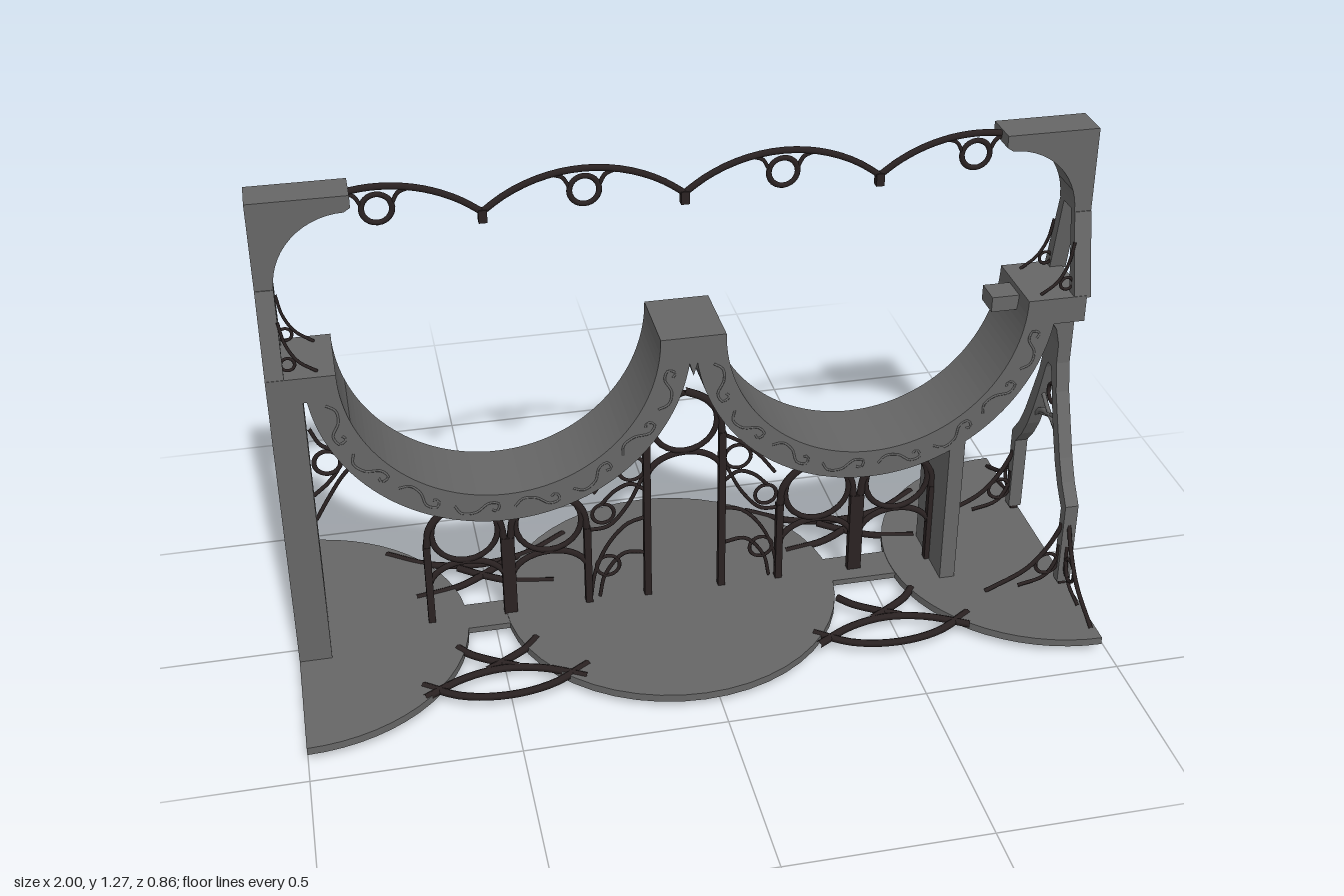
import * as THREE from 'three';

const stone = new THREE.MeshStandardMaterial({ color: 0x666666, side: THREE.DoubleSide });
const iron = new THREE.MeshStandardMaterial({ color: 0x2a2222 });

export function createModel() {
  const root = new THREE.Group();
  const add = (name, geo, mat = stone, parent = root) => {
    const m = new THREE.Mesh(geo, mat);
    m.name = name;
    parent.add(m);
    return m;
  };
  const group = (name) => {
    const g = new THREE.Group();
    g.name = name;
    root.add(g);
    return g;
  };
  // box given by its two corners
  const box = (name, x0, x1, y0, y1, z0, z1, mat, parent) =>
    add(name, new THREE.BoxGeometry(Math.abs(x1 - x0), y1 - y0, z1 - z0)
      .translate((x0 + x1) / 2, (y0 + y1) / 2, (z0 + z1) / 2), mat, parent);
  // smooth rod through points
  const rod = (name, pts, r, parent, mat = iron) => {
    const c = new THREE.CatmullRomCurve3(pts.map((p) => new THREE.Vector3(...p)));
    return add(name, new THREE.TubeGeometry(c, 18, r, 6), mat, parent);
  };
  const hoop = (name, x, y, z, R, r, parent, turned = false) => {
    const m = add(name, new THREE.TorusGeometry(R, r, 6, 24), iron, parent);
    m.position.set(x, y, z);
    if (turned) m.rotation.y = Math.PI / 2;
    return m;
  };
  const slab = (shape, z0, z1) => new THREE.ExtrudeGeometry(shape,
    { depth: z1 - z0, bevelEnabled: false, curveSegments: 32 }).translate(0, 0, z0);
  const poly = (pts) => new THREE.Shape(pts.map((p) => new THREE.Vector2(...p)));
  // outline in (z, y), extruded along x
  const sideSlab = (shape, x0, x1) => slab(shape, 0, x1 - x0).rotateY(-Math.PI / 2).translate(x1, 0, 0);

  // base plates: a full disc and two half discs joined by strips
  const R = 0.43;
  add('baseDisc', new THREE.CylinderGeometry(R, R, 0.02, 48).translate(-0.04, 0.03, 0));
  add('baseHalfDisc', new THREE.CylinderGeometry(R, R, 0.02, 32, 1, false, 0, Math.PI).translate(-1, 0.03, 0));
  add('baseHalfDisc', new THREE.CylinderGeometry(R, R, 0.02, 32, 1, false, Math.PI, Math.PI).translate(0.985, 0.03, 0));
  box('baseEdge', -1, -0.998, 0.02, 0.04, -R, R);
  box('baseEdge', 0.983, 0.985, 0.02, 0.04, -R, R);
  box('baseStrip', -0.62, -0.42, 0.022, 0.038, -0.05, 0.05);
  box('baseStrip', 0.35, 0.6, 0.022, 0.038, -0.05, 0.05);

  // curved tracery lying between the plates
  for (const cx of [-0.51, 0.48]) {
    const g = group('floorTracery');
    const flat = (pts, r = 0.01) => rod('floorArc', pts.map(([x, z]) => [cx + x, 0.035, z]), r, g);
    flat([[-0.24, -0.32], [-0.13, -0.25], [0, -0.225], [0.13, -0.25], [0.24, -0.32]]);
    flat([[-0.2, 0.25], [-0.11, 0.31], [0, 0.33], [0.11, 0.31], [0.21, 0.25]]);
    flat([[-0.2, 0.3], [-0.1, 0.245], [0, 0.225], [0.1, 0.245], [0.2, 0.3]]);
    for (const s of [-1, 1]) {
      flat([[-0.06 * s, -0.22], [0, -0.175], [0.07 * s, -0.135], [0.18 * s, -0.11]]);
      flat([[-0.04 * s, 0.225], [0.02 * s, 0.19], [0.07 * s, 0.155], [0.1 * s, 0.12]]);
    }
  }

  // two hanging half rings with scrolled relief on the front
  for (const cx of [-0.46, 0.46]) {
    const g = group('cradle');
    const s = new THREE.Shape();
    s.absarc(cx, 0.845, 0.456, Math.PI, 2 * Math.PI, false);
    s.absarc(cx, 0.845, 0.38, 2 * Math.PI, Math.PI, true);
    add('halfRing', slab(s, -0.1, 0.1), stone, g);
    for (let i = 0; i < 8; i++) {
      const a0 = Math.PI * (1.06 + i * 0.113), side = i % 2 ? 1 : -1;
      const pts = [[0, 0], [0.05, 0.018], [0.13, 0.012], [0.2, -0.015], [0.26, -0.012], [0.25, 0.008], [0.22, 0.004]];
      rod('scrollRelief', pts.map(([a, d]) => {
        const r = 0.418 + d * side;
        return [cx + r * Math.cos(a0 + a), 0.845 + r * Math.sin(a0 + a), 0.1];
      }), 0.003, g, stone);
    }
  }
  add('middleCap', slab(poly([[-0.03, 0.845], [0.03, 0.845], [0, 0.74]]), -0.1, 0.1));

  // lower supports
  box('leftPillar', -1, -0.92, 0.04, 0.845, -0.1, 0.1);
  box('leftPillarCap', -0.93, -0.9, 0.78, 0.845, -0.1, 0.1);
  box('rightPillar', 0.665, 0.705, 0.04, 0.5, -0.1, 0.1);
  box('rightCap', 0.9, 0.99, 0.775, 0.845, -0.1, 0.1);
  box('rightTongue', 0.77, 0.86, 0.79, 0.83, -0.035, 0.035);

  // forked stand on the right end
  box('standNeck', 0.955, 0.99, 0.62, 0.78, -0.043, 0.043);
  const flare = poly([[0.9, 0.78], [0.97, 0.78], [0.97, 0.66], [0.955, 0.68], [0.945, 0.725], [0.925, 0.755]]);
  add('standFlare', slab(flare, -0.043, 0.043));
  for (const s of [-1, 1]) {
    const g = group('standLeg');
    const leg = poly([[0, 0.625], [0.043, 0.625], [0.06, 0.55], [0.09, 0.475], [0.125, 0.39], [0.155, 0.335], [0.195, 0.285],
      [0.195, 0.05], [0.167, 0.05], [0.167, 0.265], [0.13, 0.31], [0.1, 0.36], [0.07, 0.43], [0.045, 0.5], [0.02, 0.58], [0.01, 0.6], [0, 0.6]]
      .map(([z, y]) => [z * s, y]));
    add('curvedLeg', sideSlab(leg, 0.955, 0.99), stone, g);
    box('foot', 0.962, 0.982, 0.03, 0.05, s * 0.18 - 0.01, s * 0.18 + 0.01, iron, g);
    rod('legBrace', [[0.972, 0.39, 0.1 * s], [0.972, 0.43, 0.05 * s], [0.972, 0.445, 0]], 0.008, g, stone);
    rod('legBrace', [[0.972, 0.49, 0.07 * s], [0.972, 0.455, 0.02 * s], [0.972, 0.4, -0.1 * s]], 0.006, g, stone);
    // scroll braces at the foot: one outward, one inward along the length
    const brace = (put, turned) => {
      rod('footBrace', [[0, 0.23], [0.035, 0.16], [0.09, 0.095], [0.2, 0.04]].map(([d, y]) => put(d, y)), 0.006, g);
      rod('footCurl', [[0.005, 0.16], [0.012, 0.11], [0.04, 0.065], [0.11, 0.045]].map(([d, y]) => put(d, y)), 0.005, g);
      hoop('footHoop', ...put(0.036, 0.105), 0.03, 0.005, g, turned);
    };
    brace((d, y) => [0.972, y, s * (0.188 + d)], true);
    brace((d, y) => [0.962 - d, y, s * 0.18], false);
  }
  rod('standStem', [[0.972, 0.62, 0], [0.972, 0.58, 0], [0.972, 0.535, 0]], 0.004);
  hoop('standHoop', 0.972, 0.51, 0, 0.026, 0.005, root, true);

  // scroll bracket on the left pillar
  rod('pillarScroll', [[-0.92, 0.39, 0], [-0.885, 0.45, 0], [-0.845, 0.51, 0], [-0.79, 0.565, 0]], 0.005);
  rod('pillarScroll', [[-0.92, 0.46, 0], [-0.88, 0.495, 0], [-0.85, 0.54, 0], [-0.84, 0.6, 0]], 0.005);
  rod('pillarScroll', [[-0.915, 0.65, 0], [-0.89, 0.6, 0], [-0.85, 0.58, 0]], 0.005);
  hoop('pillarHoop', -0.88, 0.55, 0, 0.032, 0.006);

  // upper posts with a forked foot and a quarter-round bracket
  for (const s of [-1, 1]) {
    const g = group('upperPost');
    const b = new THREE.Shape();
    b.moveTo(s, 1.05);
    b.lineTo(s, 1.265);
    b.lineTo(0.77 * s, 1.265);
    b.lineTo(0.77 * s, 1.235);
    for (let i = 0; i <= 14; i++) {
      const a = (i / 14) * Math.PI / 2;
      b.lineTo(s * (0.785 + 0.172 * Math.sin(a)), 1.05 + 0.175 * Math.cos(a));
    }
    add('bracket', slab(b, -0.05, 0.045), stone, g);
    const x0 = s < 0 ? -1 : 0.957;
    for (const t of [-1, 1]) {
      const p = poly([[t * 0.047, 1.05], [t * 0.1, 0.84], [t * 0.067, 0.84], [t * 0.023, 1.05]]);
      add('forkLeg', sideSlab(p, x0, x0 + 0.043), stone, g);
      rod('postScroll', [[0.957 * s, 0.98, t * 0.068], [0.945 * s, 0.92, t * 0.07], [0.92 * s, 0.875, t * 0.072], [0.88 * s, 0.845, t * 0.072]], 0.004, g);
      hoop('postHoop', 0.945 * s, 0.87, t * 0.072, 0.016, 0.004, g);
    }
  }

  // scalloped top rail with hoops and pendants
  const rail = group('topRail');
  for (const cx of [-0.71, -0.236, 0.236, 0.71]) {
    const pts = [];
    for (let i = 0; i <= 12; i++) {
      const x = cx + (i / 6 - 1) * 0.236;
      if (Math.abs(x) < 0.86) pts.push([x, 0.89 + Math.sqrt(0.369 ** 2 - (x - cx) ** 2), -0.003]);
    }
    rod('scallop', pts, 0.008, rail);
    hoop('railHoop', cx, 1.205, -0.003, 0.035, 0.007, rail);
    for (const s of [-1, 1])
      rod('railStrut', [[cx + s * 0.075, 1.25, -0.003], [cx + s * 0.05, 1.24, -0.003], [cx + s * 0.035, 1.215, -0.003]], 0.005, rail);
  }
  for (const x of [-0.473, 0, 0.473]) box('pendant', x - 0.01, x + 0.01, 1.148, 1.18, -0.013, 0.007, iron, rail);

  // pointed window frames standing under the half rings
  const frame = (xl, xr, apex, spring) => {
    const g = group('windowFrame'), c = (xl + xr) / 2, w = (xr - xl) / 2, r = 0.01;
    for (const s of [-1, 1]) {
      const e = c + s * w;
      box('post', e - 0.009, e + 0.009, 0, spring, -0.01, 0.01, iron, g);
      rod('pointedArch', [[e, spring - 0.01, 0], [c + s * w * 0.9, spring + (apex - spring) * 0.42, 0],
        [c + s * w * 0.55, spring + (apex - spring) * 0.78, 0], [c, apex, 0]], r, g);
    }
    const cr = w * 0.86, cy = apex - cr - 0.006;
    hoop('roundLight', c, cy, 0, cr, 0.008, g);
    const top = cy - cr - 0.004, low = [];
    for (let i = 0; i <= 10; i++) {
      const a = Math.PI * i / 10;
      low.push([c - w * Math.cos(a), top - 0.07 + 0.07 * Math.sin(a), 0]);
    }
    rod('lowerArch', low, 0.008, g);
  };
  frame(-0.661, -0.466, 0.39, 0.27);
  frame(-0.45, -0.254, 0.39, 0.27);
  frame(-0.099, 0.096, 0.64, 0.51);
  frame(0.25, 0.448, 0.39, 0.27);
  frame(0.466, 0.661, 0.39, 0.27);

  // scrollwork between the middle frame and its neighbours
  for (const s of [-1, 1]) {
    const g = group('sideScrollwork');
    const scroll = (...pts) => rod('scroll', pts.map(([x, y]) => [s * x, y, 0]), 0.005, g);
    scroll([0.1, 0.5], [0.14, 0.475], [0.19, 0.43], [0.235, 0.37]);
    scroll([0.1, 0.28], [0.15, 0.265], [0.2, 0.21], [0.235, 0.13], [0.25, 0.04]);
    scroll([0.1, 0.36], [0.14, 0.385], [0.18, 0.37], [0.215, 0.335]);
    scroll([0.25, 0.26], [0.2, 0.265], [0.15, 0.32], [0.105, 0.41]);
    scroll([0.1, 0.17], [0.16, 0.175], [0.21, 0.115], [0.225, 0.05]);
    hoop('scrollHoop', s * 0.137, 0.43, 0, 0.034, 0.005, g);
    hoop('scrollHoop', s * 0.212, 0.305, 0, 0.028, 0.005, g);
    hoop('scrollHoop', s * 0.202, 0.143, 0, 0.03, 0.005, g);
  }
  return root;
}
